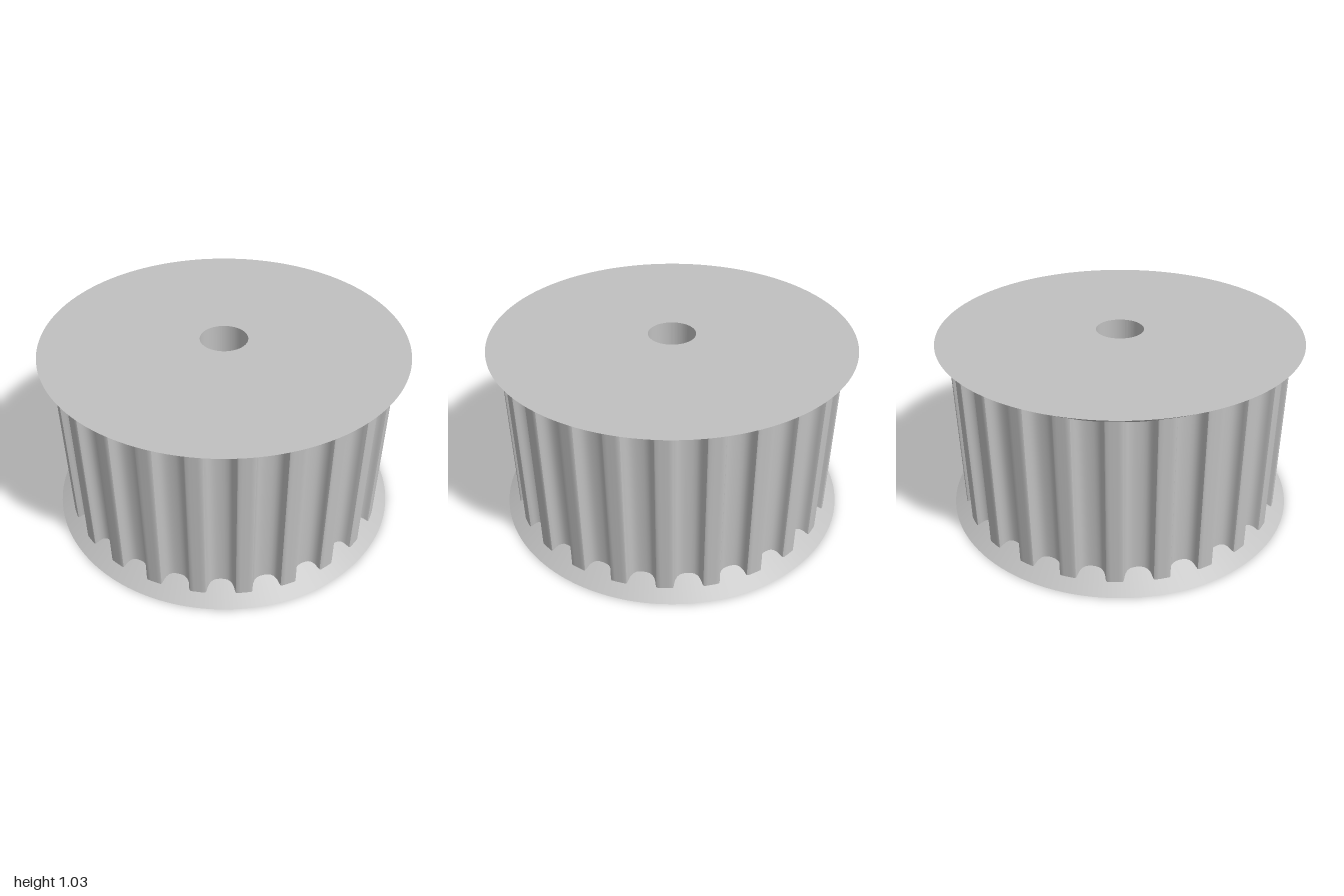
import * as THREE from 'three';
import { toCreasedNormals } from 'three/addons/utils/BufferGeometryUtils.js';

const TEETH = 24, HEIGHT = 1.03, BORE = 0.132;
const CREASE = THREE.MathUtils.degToRad(32);

// Half of one tooth pitch as [degrees from tooth centre, radius]: flat tip, rounded lip, scooped groove
const HALF_PITCH = [
  [0, 0.932], [1.2, 0.932], [2.35, 0.932], [2.7, 0.929], [2.92, 0.921], [3.1, 0.908], [3.45, 0.895],
  [4.1, 0.882], [5.1, 0.873], [6.3, 0.869], [7.5, 0.868],
];

function toothedOutline() {
  const pitch = [...HALF_PITCH, ...HALF_PITCH.slice(1, -1).reverse().map(([a, r]) => [15 - a, r])];
  const points = [];
  for (let i = 0; i < TEETH; i++) {
    for (const [deg, r] of pitch) {
      const a = THREE.MathUtils.degToRad(deg + (i * 360) / TEETH);
      points.push(new THREE.Vector2(r * Math.cos(a), r * Math.sin(a)));
    }
  }
  return new THREE.Shape(points);
}

export function createModel() {
  const model = new THREE.Group();
  model.name = 'timingPulley';
  const metal = new THREE.MeshStandardMaterial({ color: 0xc0c0c0 });
  metal.name = 'grey metal';

  const add = (name, geometry) => {
    const mesh = new THREE.Mesh(toCreasedNormals(geometry, CREASE), metal);
    mesh.name = name;
    model.add(mesh);
  };
  const lathe = (pairs) =>
    new THREE.LatheGeometry(pairs.map(([r, y]) => new THREE.Vector2(r, y)), 128);

  // Toothed drum, its ends buried in the flanges
  const outline = toothedOutline();
  outline.holes.push(new THREE.Path().absarc(0, 0, 0.2, 0, Math.PI * 2, true));
  const drum = new THREE.ExtrudeGeometry(outline, { depth: HEIGHT - 0.04, bevelEnabled: false, curveSegments: 24 });
  drum.rotateX(-Math.PI / 2).translate(0, 0.02, 0);
  add('toothedDrum', drum);

  // Flanges: flat outer face with a sloped inner face running into the drum
  add('bottomFlange', lathe([[BORE, 0], [1, 0], [0.85, 0.0965]]));
  add('topFlange', lathe([[0.85, HEIGHT - 0.0965], [1, HEIGHT], [BORE, HEIGHT]]));

  // Shaft hole wall, facing inward
  add('bore', lathe([[BORE, HEIGHT], [BORE, 0]]));

  return model;
}
